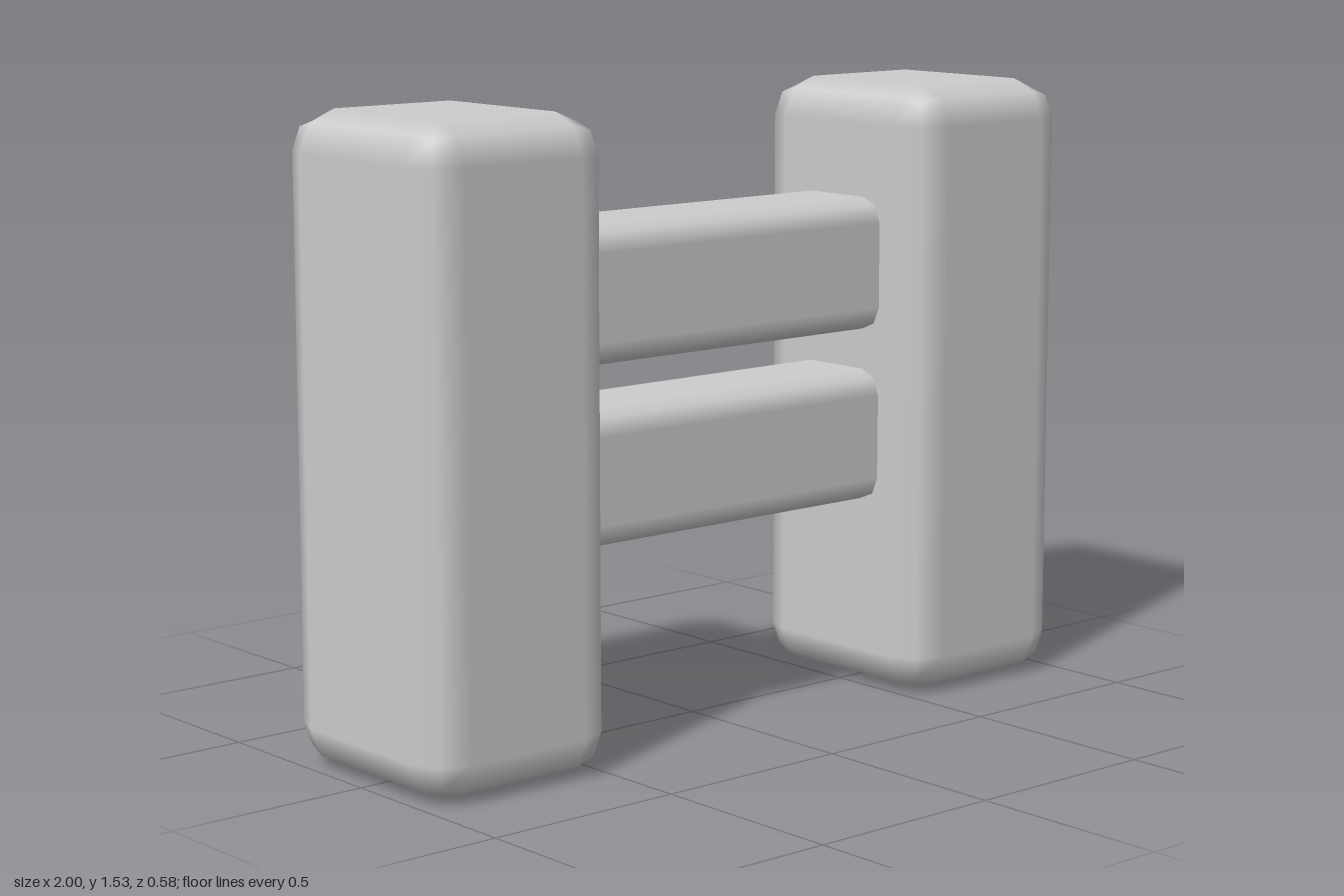
import * as THREE from 'three';
import { RoundedBoxGeometry } from 'three/addons/geometries/RoundedBoxGeometry.js';

export function createModel() {
  const model = new THREE.Group();
  model.name = 'barrier';

  const grey = new THREE.MeshStandardMaterial({ color: 0xcccccc });
  grey.name = 'light grey';

  // Softly bevelled block; one segment gives a two-step bevel
  const block = (name, size, radius, position) => {
    const mesh = new THREE.Mesh(new RoundedBoxGeometry(...size, 1, radius), grey);
    mesh.name = name;
    mesh.position.set(...position);
    model.add(mesh);
  };

  // Upright posts
  for (const [name, side] of [['leftPost', 1], ['rightPost', -1]]) {
    block(name, [0.52, 1.526, 0.584], 0.097, [side * 0.74, 0.763, 0]);
  }

  // Horizontal rails, with their ends sunk into the posts
  for (const [name, y] of [['lowerRail', 0.652], ['upperRail', 1.083]]) {
    block(name, [1.16, 0.33, 0.305], 0.06, [0, y, -0.002]);
  }

  return model;
}
